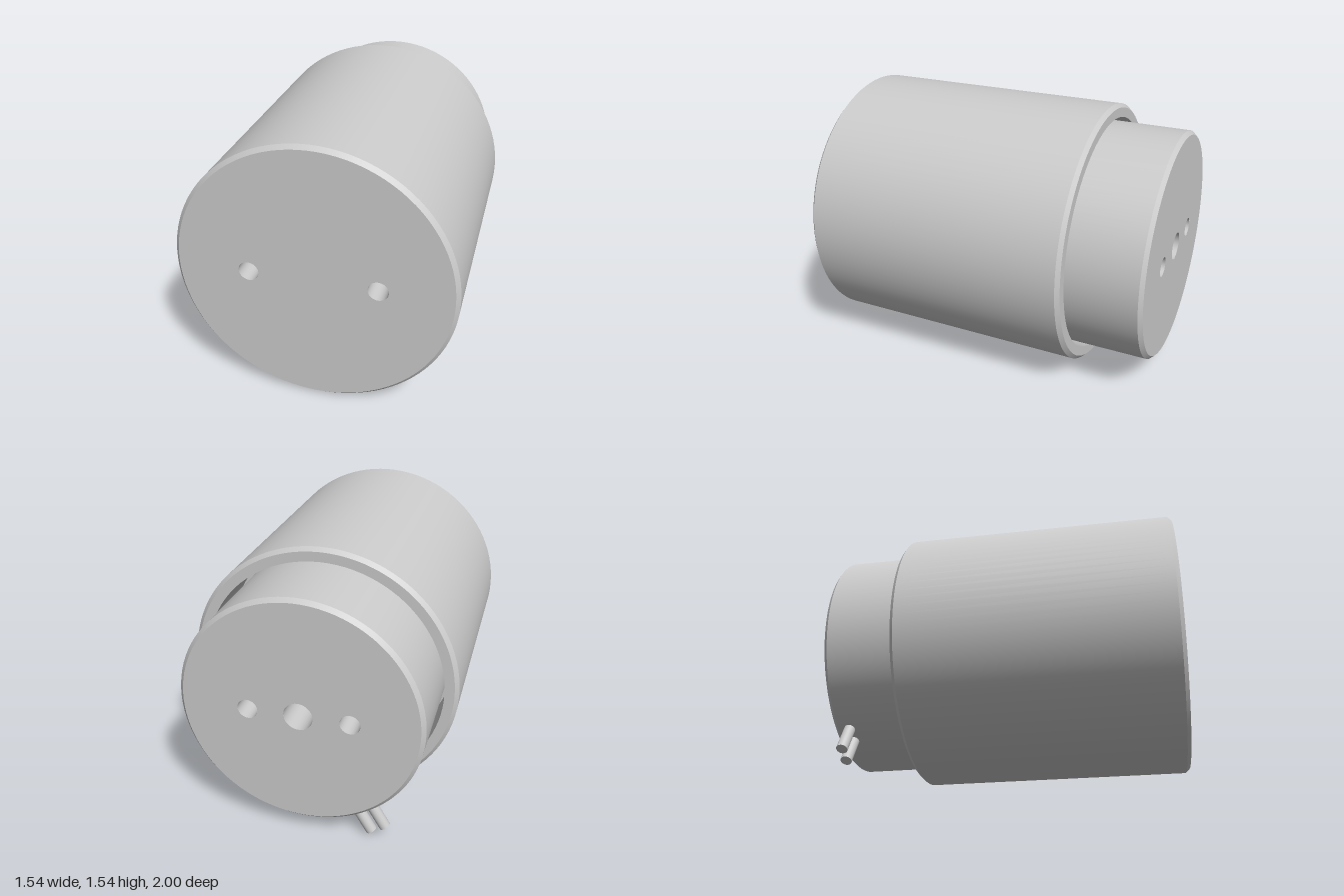
import * as THREE from 'three';

const R = 0.7725;        // housing radius, also axis height
const R2 = 0.67;         // inner cylinder radius
const CH = 0.022;        // edge chamfer
const SEG = 96;
const mat = new THREE.MeshStandardMaterial({ color: 0xcccccc });

// Turned surface along z from [radius, z] points; each segment is separate so edges stay sharp
function turned(name, points, segments = SEG) {
  const group = new THREE.Group();
  group.name = name;
  for (let i = 0; i < points.length - 1; i++) {
    const pair = [points[i], points[i + 1]].map(p => new THREE.Vector2(p[0], p[1]));
    const geo = new THREE.LatheGeometry(pair, segments).rotateX(Math.PI / 2);
    const mesh = new THREE.Mesh(geo, mat);
    mesh.name = name + 'Surface';
    group.add(mesh);
  }
  return group;
}

// Flat disc facing +z with drilled, cone-bottomed holes
function drilledFace(name, radius, holes) {
  const group = new THREE.Group();
  group.name = name;
  const shape = new THREE.Shape().absarc(0, 0, radius, 0, Math.PI * 2, false);
  for (const { x, r, depth } of holes) {
    shape.holes.push(new THREE.Path().absarc(x, 0, r, 0, Math.PI * 2, true));
    const bore = turned('drilledHole', [[r, 0], [r, -depth], [0, -depth - r * 0.58]], 48);
    bore.position.x = x;
    group.add(bore);
  }
  const disc = new THREE.Mesh(new THREE.ShapeGeometry(shape, 48), mat);
  disc.name = name + 'Disc';
  group.add(disc);
  return group;
}

export function createModel() {
  const model = new THREE.Group();
  model.name = 'cylinderAssembly';
  const body = new THREE.Group();
  body.name = 'body';
  body.position.y = R;
  model.add(body);

  // Outer housing, open at the back with a narrow gap around the inner cylinder
  body.add(turned('housing', [
    [0.6, -0.2], [0.695, -0.2], [0.695, -0.58], [R - CH, -0.58],
    [R, -0.58 + CH], [R, 1 - CH], [R - CH, 1],
  ]));
  const front = drilledFace('frontFace', R - CH,
    [-0.353, 0.353].map(x => ({ x, r: 0.056, depth: 0.2 })));
  front.position.z = 1;
  body.add(front);

  // Inner cylinder projecting from the back
  body.add(turned('innerCylinder', [[R2 - CH, -1], [R2, -1 + CH], [R2, -0.2]]));
  const back = drilledFace('backFace', R2 - CH, [
    { x: 0, r: 0.08, depth: 0.25 },
    { x: -0.28, r: 0.056, depth: 0.2 },
    { x: 0.28, r: 0.056, depth: 0.2 },
  ]);
  back.rotation.y = Math.PI;
  back.position.z = -1;
  body.add(back);

  // Pair of parallel pins near the back, 30 degrees off straight down
  const pins = new THREE.Group();
  pins.name = 'pins';
  pins.rotation.z = -Math.PI / 6;
  pins.position.z = -0.91;
  for (const side of [-1, 1]) {
    const pin = new THREE.Mesh(new THREE.CylinderGeometry(0.032, 0.032, 0.2, 32), mat);
    pin.name = 'pin';
    pin.position.set(side * 0.044, -0.735, 0);
    pins.add(pin);
  }
  body.add(pins);
  return model;
}
